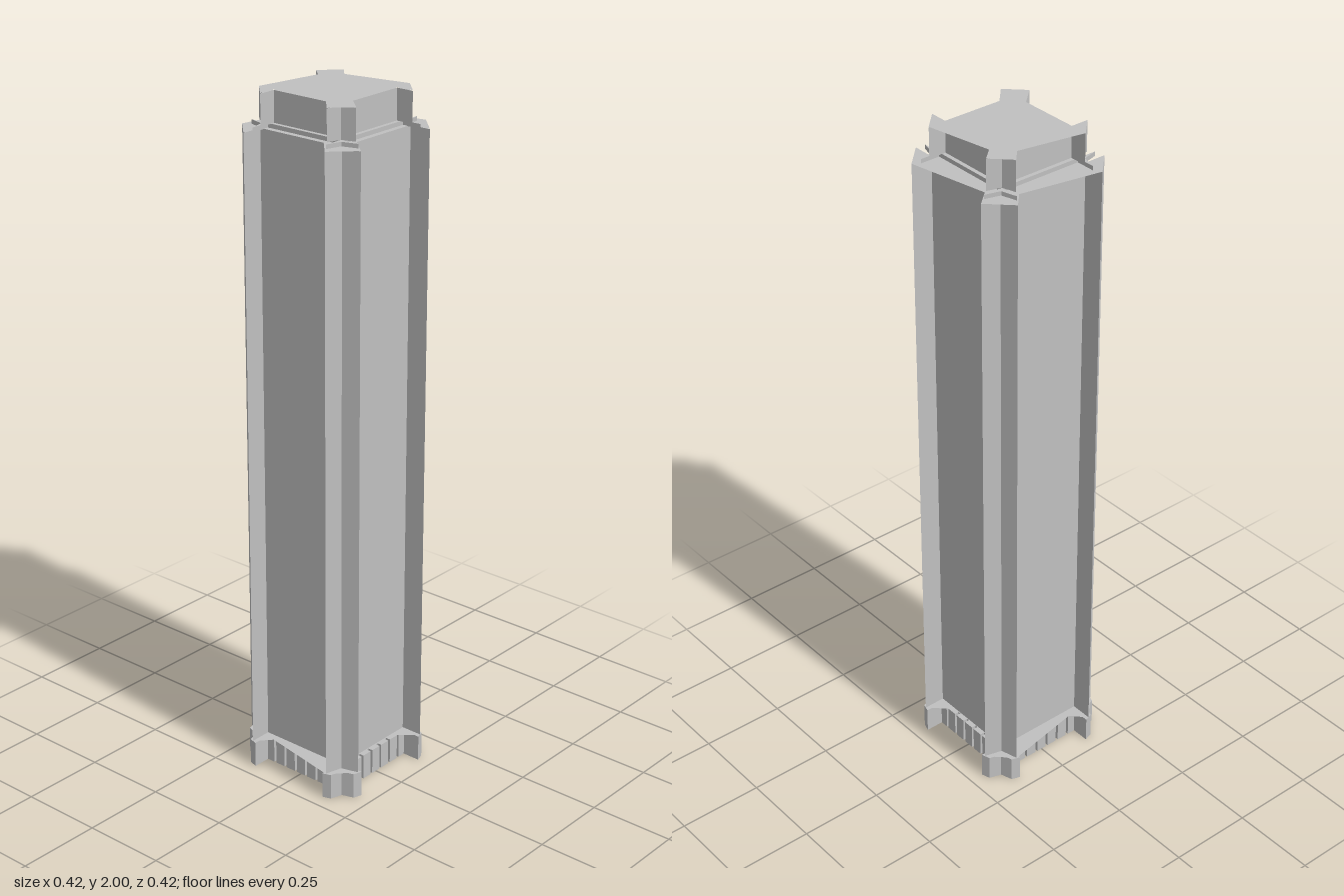
import * as THREE from 'three';

const stone = new THREE.MeshStandardMaterial({ color: 0xc0c0c0, side: THREE.DoubleSide });
stone.name = 'lightGrey';

// Plan outlines as [x, z] points
const FIN = [[0.14, 0.14], [0.14, 0.205], [0.154, 0.154], [0.205, 0.14]];
const FOOT = [[0.129, 0.129], [0.129, 0.208], [0.154, 0.2], [0.165, 0.165], [0.2, 0.154], [0.208, 0.129]];
const LID = [
  [-0.205, 0.14], [-0.14, 0.205], [-0.08, 0.14], [0.14, 0.14], [0.14, 0.205], [0.205, 0.14], [0.16, -0.1],
  [0.205, -0.14], [0.14, -0.205], [0.1, -0.162], [-0.14, -0.205], [-0.205, -0.14], [-0.14, -0.14], [-0.14, 0.08],
];

function planShape(points, sx = 1, sz = 1) {
  return new THREE.Shape(points.map(([x, z]) => new THREE.Vector2(x * sx, -z * sz)));
}

function prism(name, points, y0, y1, sx = 1, sz = 1) {
  const geo = new THREE.ExtrudeGeometry(planShape(points, sx, sz), { depth: y1 - y0, bevelEnabled: false });
  geo.rotateX(-Math.PI / 2);
  geo.translate(0, y0, 0);
  const mesh = new THREE.Mesh(geo, stone);
  mesh.name = name;
  return mesh;
}

function box(name, w, h, d, x, y, z) {
  const mesh = new THREE.Mesh(new THREE.BoxGeometry(w, h, d), stone);
  mesh.name = name;
  mesh.position.set(x, y, z);
  return mesh;
}

// Flat plate with an irregular outline
function lid(name, y, s, mirror = 1) {
  const mesh = new THREE.Mesh(new THREE.ShapeGeometry(planShape(LID, s * mirror, s)), stone);
  mesh.geometry.rotateX(-Math.PI / 2);
  mesh.name = name;
  mesh.position.y = y;
  return mesh;
}

// Square core with a pair of tapering fins on every corner
function finnedBlock(name, y0, y1, s) {
  const group = new THREE.Group();
  group.name = name;
  group.add(box(name + 'Core', 0.28 * s, y1 - y0, 0.28 * s, 0, (y0 + y1) / 2, 0));
  for (const sx of [-1, 1]) for (const sz of [-1, 1]) {
    group.add(prism(name + 'Fin', FIN, y0, y1, sx * s, sz * s));
  }
  return group;
}

export function createModel() {
  const tower = new THREE.Group();
  tower.name = 'tower';

  // Shaft, narrow step and crown
  tower.add(finnedBlock('shaft', 0.079, 1.897, 1));
  tower.add(lid('shaftTop', 1.898, 1));
  tower.add(lid('shaftBottom', 0.078, 1, -1));
  tower.add(finnedBlock('step', 1.897, 1.91, 0.9));
  tower.add(finnedBlock('crown', 1.91, 1.998, 0.815));
  tower.add(lid('crownTop', 2, 0.815));

  // Corner feet
  for (const sx of [-1, 1]) for (const sz of [-1, 1]) {
    tower.add(prism('foot', FOOT, 0, 0.077, sx, sz));
  }

  // Open base ring with a row of small blocks on each side
  for (let i = 0; i < 4; i++) {
    const side = new THREE.Group();
    side.name = 'baseSide';
    side.add(box('baseWall', 0.28, 0.076, 0.045, 0, 0.038, 0.1175));
    for (let k = -3; k <= 3; k++) {
      side.add(box('baseBlock', 0.032, 0.076, 0.014, k * 0.04, 0.038, 0.147));
    }
    side.rotation.y = i * Math.PI / 2;
    tower.add(side);
  }
  return tower;
}
